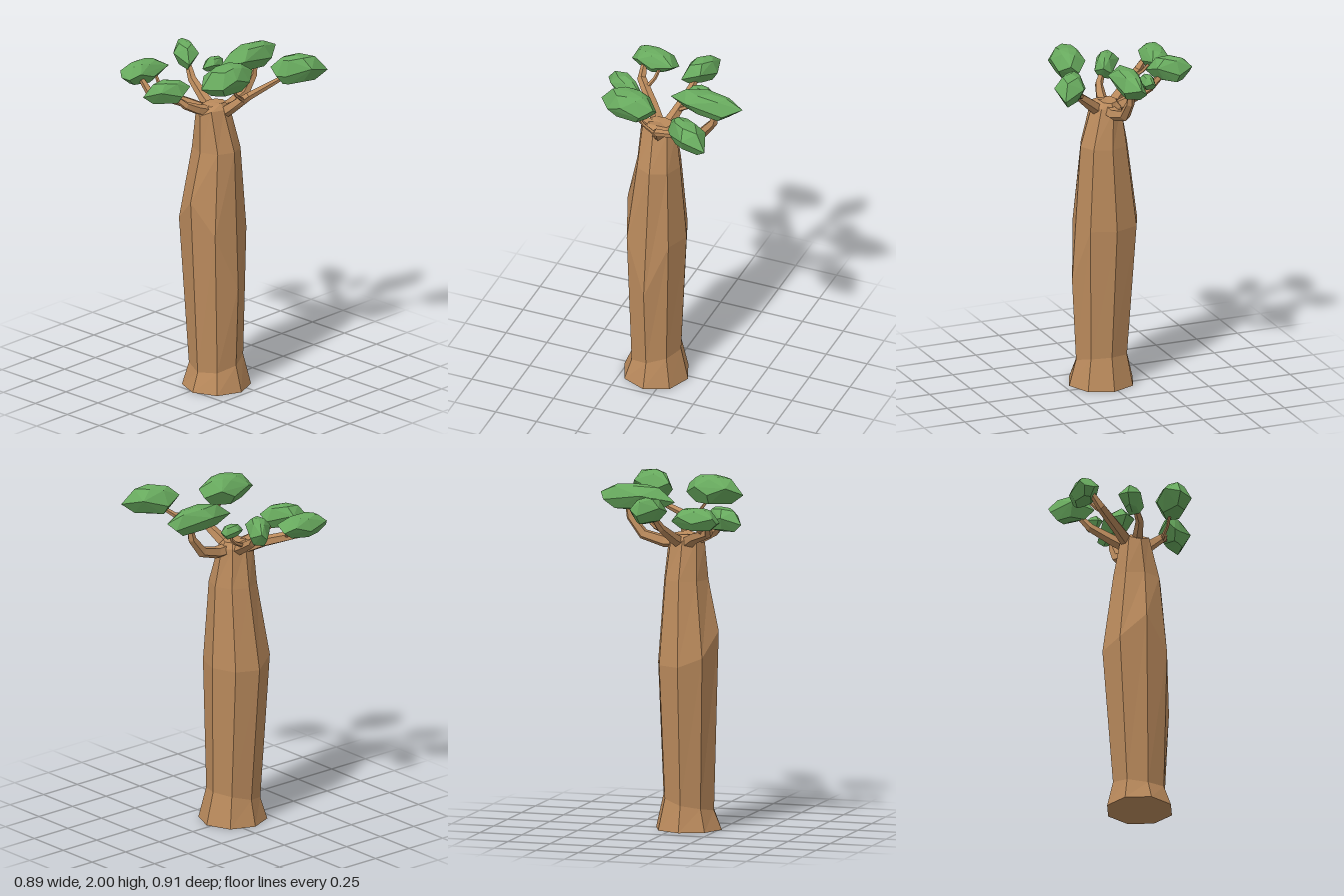
import * as THREE from 'three';
import { ConvexGeometry } from 'three/addons/geometries/ConvexGeometry.js';

const bark = new THREE.MeshStandardMaterial({ color: 0xba8a5c, flatShading: true });
bark.name = 'bark';
const leaf = new THREE.MeshStandardMaterial({ color: 0x68aa5e, flatShading: true });
leaf.name = 'leaf green';

// Skins a stack of equal rings of Vector3 and closes both ends
function loft(rings) {
  const n = rings[0].length, m = rings.length;
  const middle = ring => ring.reduce((s, p) => s.add(p), new THREE.Vector3()).divideScalar(n);
  const points = [...rings.flat(), middle(rings[0]), middle(rings[m - 1])];
  const bottom = n * m, top = bottom + 1, index = [];
  for (let k = 0; k < n; k++) {
    const j = (k + 1) % n;
    for (let i = 0; i < m - 1; i++) {
      const a = i * n + k, b = i * n + j;
      index.push(a, a + n, b, b, a + n, b + n);
    }
    index.push(bottom, k, j, top, (m - 1) * n + j, (m - 1) * n + k);
  }
  const geometry = new THREE.BufferGeometry().setFromPoints(points);
  geometry.setIndex(index);
  geometry.computeVertexNormals();
  return geometry;
}

// Eight-sided bottle trunk: each ring has its x and z limits and a height per corner
function trunkGeometry() {
  const rings = [
    [-0.265, 0.125, -0.17, 0.22, [0, 0, 0, 0, 0, 0, 0, 0]],
    [-0.22, 0.08, -0.135, 0.178, [0.19, 0.18, 0.15, 0.12, 0.11, 0.13, 0.15, 0.18]],
    [-0.255, 0.105, -0.2, 0.2, [0.95, 0.95, 0.62, 0.95, 1.14, 1.0, 0.95, 0.95]],
    [-0.19, 0.072, -0.13, 0.155, [1.43, 1.43, 1.43, 1.43, 1.43, 1.43, 1.43, 1.43]],
    [-0.175, 0.04, -0.09, 0.08, [1.65, 1.66, 1.67, 1.67, 1.64, 1.66, 1.66, 1.66]],
    [-0.13, 0.015, -0.06, 0.05, [1.69, 1.69, 1.7, 1.69, 1.68, 1.69, 1.69, 1.69]],
  ];
  return loft(rings.map(([x0, x1, z0, z1, heights]) => heights.map((y, k) => {
    const a = k * Math.PI / 4;
    return new THREE.Vector3(
      (x0 + x1) / 2 + Math.cos(a) * (x1 - x0) / 2, y,
      (z0 + z1) / 2 + Math.sin(a) * (z1 - z0) / 2);
  })));
}

// Tapered five-sided limb through points [x, y, z, radius]
function limbGeometry(path) {
  const at = path.map(p => new THREE.Vector3(p[0], p[1], p[2]));
  const up = new THREE.Vector3(0, 1, 0);
  return loft(path.map((p, i) => {
    const dir = at[Math.min(i + 1, at.length - 1)].clone().sub(at[Math.max(i - 1, 0)]).normalize();
    const turn = new THREE.Quaternion().setFromUnitVectors(up, dir);
    return Array.from({ length: 5 }, (_, k) => {
      const a = k * Math.PI * 0.4;
      return new THREE.Vector3(Math.cos(a) * p[3], 0, Math.sin(a) * p[3]).applyQuaternion(turn).add(at[i]);
    });
  }));
}

// Faceted leaf clump: outline seen from above, swollen between two heights
function clumpGeometry(outline, y0, y1) {
  const n = outline.length, mid = (y0 + y1) / 2, half = (y1 - y0) / 2;
  const cx = outline.reduce((s, p) => s + p[0], 0) / n;
  const cz = outline.reduce((s, p) => s + p[1], 0) / n;
  const points = [];
  outline.forEach(([x, z], i) => {
    const wave = i % 2 ? 1 : -1;
    points.push(new THREE.Vector3(x, mid + wave * half * 0.25, z));
    const s = i % 2 ? 0.5 : 0.62;
    const px = cx + (x - cx) * s, pz = cz + (z - cz) * s;
    points.push(new THREE.Vector3(px, mid + half * (0.84 + wave * 0.06), pz));
    points.push(new THREE.Vector3(px, mid - half * (0.84 - wave * 0.06), pz));
  });
  points.push(new THREE.Vector3(cx, y1, cz), new THREE.Vector3(cx, y0, cz));
  return new ConvexGeometry(points);
}

const limbs = {
  frontBranch: [[-0.05, 1.63, 0.04, 0.035], [-0.03, 1.68, 0.1, 0.034], [0.01, 1.765, 0.2, 0.024],
    [0.17, 1.82, 0.25, 0.016], [0.24, 1.88, 0.32, 0.01]],
  frontTwig: [[0.0, 1.73, 0.18, 0.012], [-0.08, 1.79, 0.19, 0.01], [-0.14, 1.87, 0.19, 0.008]],
  leftBranch: [[-0.03, 1.64, 0.0, 0.04], [0.07, 1.64, 0.0, 0.036], [0.19, 1.675, -0.01, 0.032],
    [0.265, 1.77, -0.01, 0.025], [0.285, 1.87, -0.01, 0.015]],
  rightBranch: [[-0.1, 1.65, 0.0, 0.035], [-0.18, 1.68, -0.02, 0.03], [-0.25, 1.715, -0.04, 0.024],
    [-0.32, 1.79, -0.1, 0.014]],
  backRightBranch: [[-0.08, 1.64, -0.04, 0.04], [-0.16, 1.69, -0.14, 0.033], [-0.29, 1.745, -0.29, 0.027],
    [-0.3, 1.83, -0.36, 0.014]],
  backRightTwig: [[-0.24, 1.73, -0.24, 0.013], [-0.21, 1.77, -0.29, 0.011], [-0.19, 1.84, -0.35, 0.008]],
  backBranch: [[-0.04, 1.64, -0.04, 0.036], [-0.02, 1.68, -0.12, 0.032], [0.01, 1.75, -0.24, 0.025],
    [0.05, 1.86, -0.33, 0.014]],
  backTwig: [[-0.01, 1.7, -0.14, 0.014], [0.07, 1.74, -0.155, 0.012], [0.1, 1.77, -0.16, 0.01],
    [0.11, 1.83, -0.18, 0.008]],
};

const clumps = {
  frontRightLeaves: [1.83, 2.0, [[-0.345, 0.17], [-0.26, 0.105], [-0.15, 0.1], [-0.07, 0.12],
    [0, 0.19], [0, 0.24], [-0.07, 0.285], [-0.18, 0.29], [-0.27, 0.265]]],
  frontLeftLeaves: [1.82, 1.99, [[0.12, 0.31], [0.125, 0.26], [0.22, 0.245], [0.35, 0.31],
    [0.4, 0.445], [0.26, 0.455], [0.15, 0.355]]],
  leftLeaves: [1.81, 1.96, [[-0.005, -0.03], [0.18, -0.1], [0.415, -0.05], [0.445, -0.005],
    [0.345, 0.06], [0.12, 0.065]]],
  rightLeaves: [1.73, 1.87, [[-0.45, -0.185], [-0.33, -0.2], [-0.21, -0.1], [-0.205, -0.05],
    [-0.29, -0.03], [-0.4, -0.09]]],
  backRightLeaves: [1.77, 1.9, [[-0.38, -0.42], [-0.365, -0.445], [-0.24, -0.455], [-0.15, -0.43],
    [-0.1, -0.385], [-0.11, -0.31], [-0.24, -0.3], [-0.33, -0.315], [-0.38, -0.36]]],
  backLeaves: [1.79, 1.94, [[0.085, -0.455], [0.125, -0.452], [0.14, -0.37], [0.08, -0.255],
    [-0.025, -0.23], [-0.02, -0.36]]],
  smallBackLeaves: [1.79, 1.87, [[0.035, -0.185], [0.1, -0.225], [0.18, -0.205], [0.195, -0.18],
    [0.165, -0.145], [0.08, -0.14]]],
};

export function createModel() {
  const tree = new THREE.Group();
  tree.name = 'tree';
  const add = (name, geometry, material) => {
    const mesh = new THREE.Mesh(geometry, material);
    mesh.name = name;
    tree.add(mesh);
  };
  add('trunk', trunkGeometry(), bark);
  for (const [name, path] of Object.entries(limbs)) add(name, limbGeometry(path), bark);
  for (const [name, [y0, y1, outline]] of Object.entries(clumps)) add(name, clumpGeometry(outline, y0, y1), leaf);
  return tree;
}
